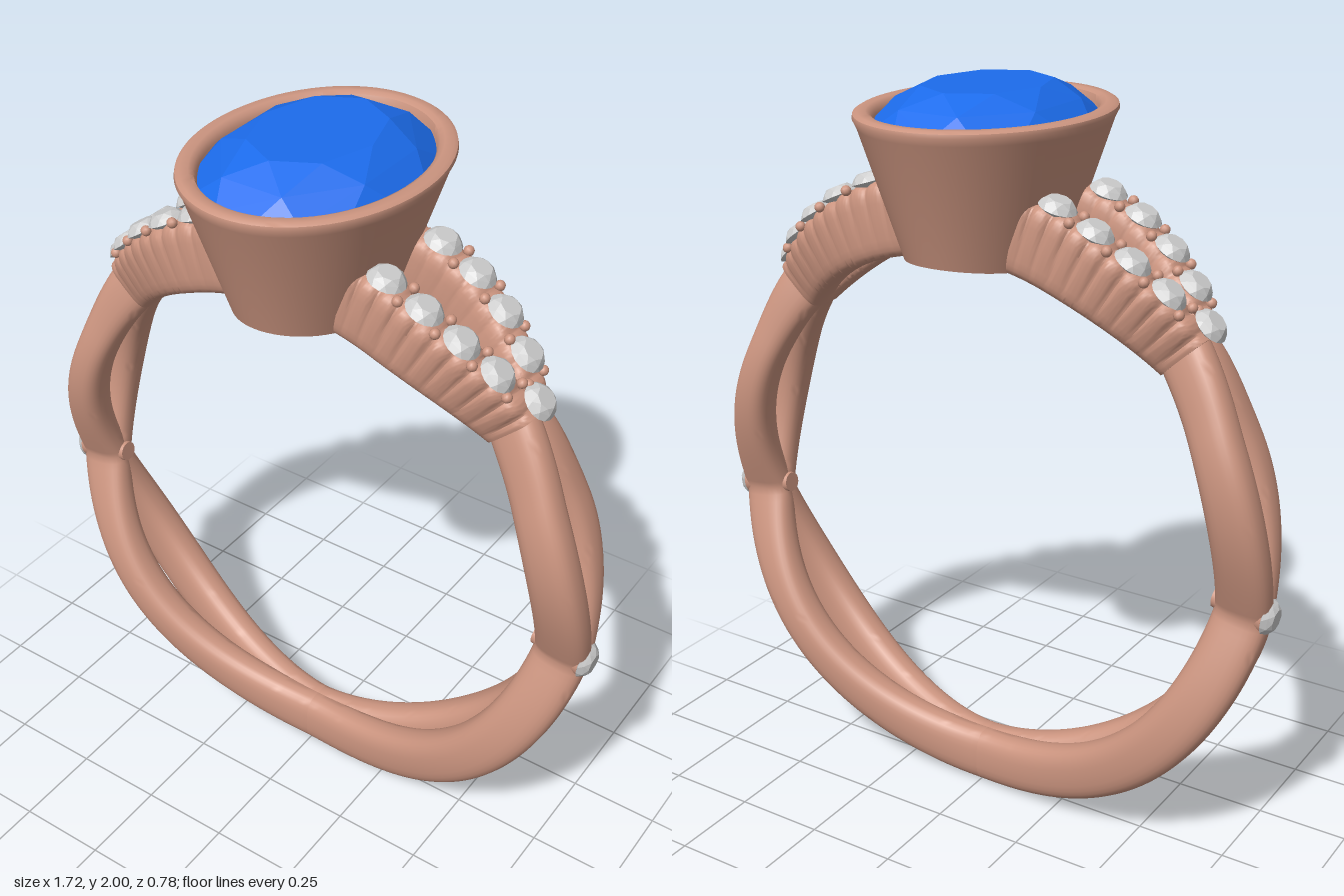
import * as THREE from 'three';
import { toCreasedNormals } from 'three/addons/utils/BufferGeometryUtils.js';
import { ConvexGeometry } from 'three/addons/geometries/ConvexGeometry.js';

const CY = 0.85; // height of the band's centre
const RAD = Math.PI / 180;
const metal = new THREE.MeshStandardMaterial({ color: 0xcc9580 });
const blue = new THREE.MeshStandardMaterial({ color: 0x1c6cec, flatShading: true });
const clear = new THREE.MeshStandardMaterial({ color: 0xcccccc, flatShading: true });

function named(name, geometry, material) {
  const mesh = new THREE.Mesh(geometry, material);
  mesh.name = name;
  return mesh;
}

// Skin closed cross-sections, with optional flat ends
function loft(rings, capped) {
  const n = rings[0].length;
  const pos = [];
  const idx = [];
  rings.forEach((r) => r.forEach((p) => pos.push(p.x, p.y, p.z)));
  for (let i = 0; i < rings.length - 1; i++) {
    for (let j = 0; j < n; j++) {
      const k = (j + 1) % n;
      const a = i * n + j, b = a + n, c = (i + 1) * n + k, d = i * n + k;
      idx.push(a, b, c, a, c, d);
    }
  }
  if (capped) {
    [0, rings.length - 1].forEach((i) => {
      const mid = new THREE.Vector3();
      rings[i].forEach((p) => mid.addScaledVector(p, 1 / n));
      const m = pos.length / 3;
      pos.push(mid.x, mid.y, mid.z);
      for (let j = 0; j < n; j++) {
        const a = i * n + j, b = i * n + (j + 1) % n;
        if (i === 0) idx.push(m, a, b);
        else idx.push(m, b, a);
      }
    });
  }
  const geo = new THREE.BufferGeometry();
  geo.setAttribute('position', new THREE.Float32BufferAttribute(pos, 3));
  geo.setIndex(idx);
  return toCreasedNormals(geo, 0.7);
}

// Sweep a rounded section round the finger; angles run from the bottom (0) to the top (180)
function sweep(from, to, steps, section, power) {
  const rings = [];
  const soft = (v) => Math.sign(v) * Math.abs(v) ** (2 / power);
  for (let i = 0; i <= steps; i++) {
    const deg = from + (to - from) * i / steps;
    const { z, w, ri, ro, groove = 0 } = section(deg);
    const ring = [];
    for (let j = 0; j < 28; j++) {
      const a = j / 28 * Math.PI * 2;
      const out = soft(Math.cos(a));
      const r = (ri + ro) / 2 + out * (ro - ri) / 2;
      const cut = 1 - groove * (out + 1) / 2;
      ring.push(new THREE.Vector3(
        r * Math.sin(deg * RAD), CY - r * Math.cos(deg * RAD), z + w * cut * soft(Math.sin(a))));
    }
    rings.push(ring);
  }
  return loft(rings, true);
}

// Faceted stone: table, crown, girdle and pavilion; y = 0 is the girdle
function stone(rx, rz, crown, depth) {
  const pts = [new THREE.Vector3(0, -depth, 0)];
  const ring = (n, s, y, turn) => {
    for (let i = 0; i < n; i++) {
      const a = (i + turn) / n * Math.PI * 2;
      pts.push(new THREE.Vector3(rx * s * Math.cos(a), y, rz * s * Math.sin(a)));
    }
  };
  ring(16, 1, 0, 0.5);
  ring(8, 0.84, crown * 0.55, 0.5);
  ring(8, 0.58, crown, 0);
  ring(8, 0.55, -depth * 0.5, 0.5);
  return new ConvexGeometry(pts);
}

// Put an object on the band, its y axis pointing outward
function place(obj, deg, r, z) {
  obj.position.set(r * Math.sin(deg * RAD), CY - r * Math.cos(deg * RAD), z);
  obj.rotation.z = deg * RAD - Math.PI;
  return obj;
}

const innerRadius = (deg) => 0.695 + 0.04 * THREE.MathUtils.smoothstep(deg, 60, 160);
const lens = (deg) => deg < 82
  ? Math.sin(Math.PI * (deg / 82) ** 1.4)
  : Math.sin(Math.PI * Math.min(1, (deg - 82) / 53));

// Sideways offset of each pave arm
const armZ = (deg) => 0.015 + 0.1 * Math.sin(Math.PI / 2 * Math.min(1, Math.max(0, (deg - 133) / 27)));
const armTop = (deg) => 0.88 + 0.05 * Math.min(1, (deg - 133) / 28);

function halfRing() {
  const half = new THREE.Group();
  half.name = 'halfBand';
  const beadGeo = new THREE.SphereGeometry(0.014, 10, 8);
  const paveGeo = stone(0.05, 0.05, 0.024, 0.03);

  for (const s of [1, -1]) {
    // Two strands that part and meet again
    half.add(named('bandStrand', sweep(0, 137, 90, (d) => {
      const u = Math.max(0, lens(d));
      return {
        z: s * (0.08 * u + 0.015 * Math.max(0, 1 - d / 82) + 0.012 * THREE.MathUtils.smoothstep(d, 120, 135)),
        w: 0.047 + 0.008 * u,
        ri: innerRadius(d),
        ro: 0.85 - (s < 0 ? 0.03 * u : 0) + 0.025 * THREE.MathUtils.smoothstep(d, 115, 137),
      };
    }, 2.6), metal));

    // Fluted shoulder arm rising to the setting
    half.add(named('shoulderArm', sweep(133, 168, 120, (d) => {
      const flute = 1 - Math.abs(Math.sin(Math.PI * (d - 134.6) / 3.5));
      return {
        z: s * armZ(d), w: 0.054, ri: innerRadius(d) - 0.004,
        ro: armTop(d) - 0.008 * flute,
        groove: (s > 0 ? 0.3 : 0.1) * flute * flute,
      };
    }, 4), metal));

    // Pave stones with beads between them
    for (let i = 1; i < 5; i++) {
      const d = 134.6 + 7 * i + (s > 0 ? 0.4 : -0.4);
      half.add(place(named('paveStone', paveGeo, clear), d, armTop(d) + 0.002, s * armZ(d)));
      for (const side of [-1, 1]) {
        const b = d - 3.5;
        half.add(place(named('prongBead', beadGeo, metal), b, armTop(b), s * armZ(b) + side * 0.036));
      }
    }
  }
  half.add(place(named('paveStone', paveGeo, clear), 134.6, 0.892, 0));

  // Side stone in its drilled seat, where the strands cross
  half.add(place(named('sideStone', paveGeo, clear), 83, 0.84, 0));
  half.add(place(named('sideStoneSeat', new THREE.CylinderGeometry(0.046, 0.028, 0.145, 24), metal), 83, 0.765, 0));
  return half;
}

// Oval bezel cup with an open culet; its foot follows the finger hole
function bezel() {
  const foot = 0;
  const profile = [
    [0.185, 0.265, foot], [0.298, 0.378, 1.91], [0.308, 0.388, 1.93], [0.306, 0.386, 1.94],
    [0.296, 0.376, 1.946], [0.274, 0.354, 1.946], [0.262, 0.342, 1.94], [0.255, 0.336, 1.925],
    [0.25, 0.33, 1.89], [0.11, 0.13, 1.7], [0.1, 0.12, foot], [0.185, 0.265, foot],
  ];
  return loft(profile.map(([rx, rz, y]) => {
    const ring = [];
    for (let j = 0; j < 72; j++) {
      const a = j / 72 * Math.PI * 2;
      const x = rx * Math.cos(a);
      ring.push(new THREE.Vector3(x, y || CY + Math.sqrt(0.735 ** 2 - x * x), rz * Math.sin(a)));
    }
    return ring;
  }), false);
}

export function createModel() {
  const ring = new THREE.Group();
  ring.name = 'ring';

  // The two halves match by a half turn about the vertical
  const right = halfRing();
  const left = right.clone();
  left.rotation.y = Math.PI;
  ring.add(right, left);

  ring.add(named('bezel', bezel(), metal));
  const gem = named('centreStone', stone(0.262, 0.342, 0.085, 0.17), blue);
  gem.position.y = 1.915;
  ring.add(gem);
  return ring;
}
